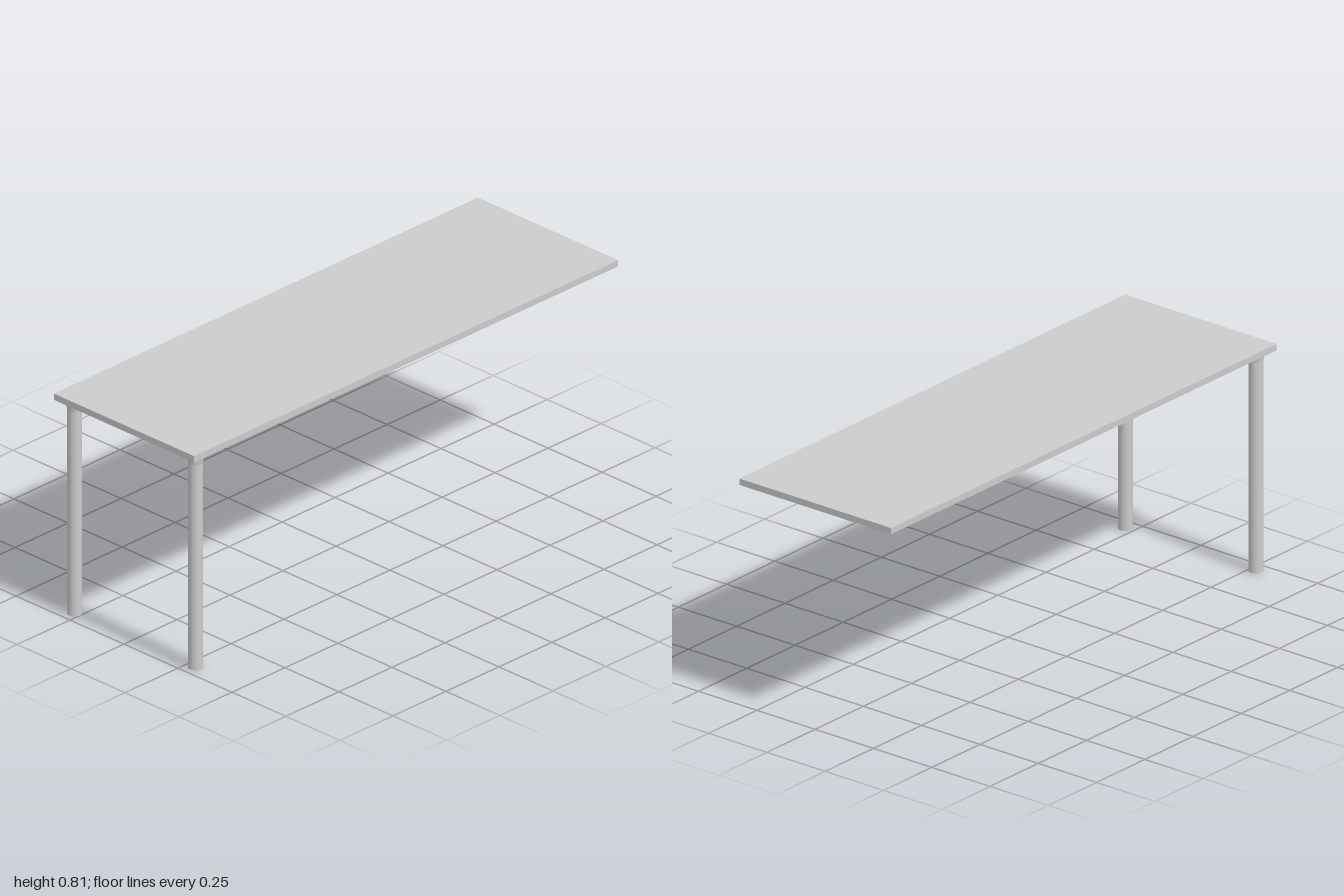
import * as THREE from 'three';

export function createModel() {
  const group = new THREE.Group();
  const material = new THREE.MeshStandardMaterial({ color: 0xcccccc });
  const collarMaterial = new THREE.MeshStandardMaterial({ color: 0xcccccc, flatShading: true });

  const add = (parent, name, geometry, mat, x, y, z) => {
    const mesh = new THREE.Mesh(geometry, mat);
    mesh.name = name;
    mesh.position.set(x, y, z);
    parent.add(mesh);
  };

  const underside = 0.79, thickness = 0.023;
  const legRadius = 0.025, collarHeight = 0.031;

  // Thin rectangular top
  add(group, 'tabletop', new THREE.BoxGeometry(2, thickness, 0.65), material,
    0, underside + thickness / 2, 0);

  // Two round legs at one end only, each with a flared collar under the top
  const legGeometry = new THREE.CylinderGeometry(legRadius, legRadius, underside, 32);
  const collarGeometry = new THREE.CylinderGeometry(0.03, legRadius, collarHeight, 24);
  for (const [name, z] of [['frontLeg', 0.285], ['backLeg', -0.275]]) {
    const leg = new THREE.Group();
    leg.name = name;
    leg.position.set(-0.953, 0, z);
    add(leg, 'post', legGeometry, material, 0, underside / 2, 0);
    add(leg, 'collar', collarGeometry, collarMaterial, 0, underside - collarHeight / 2, 0);
    group.add(leg);
  }
  return group;
}
